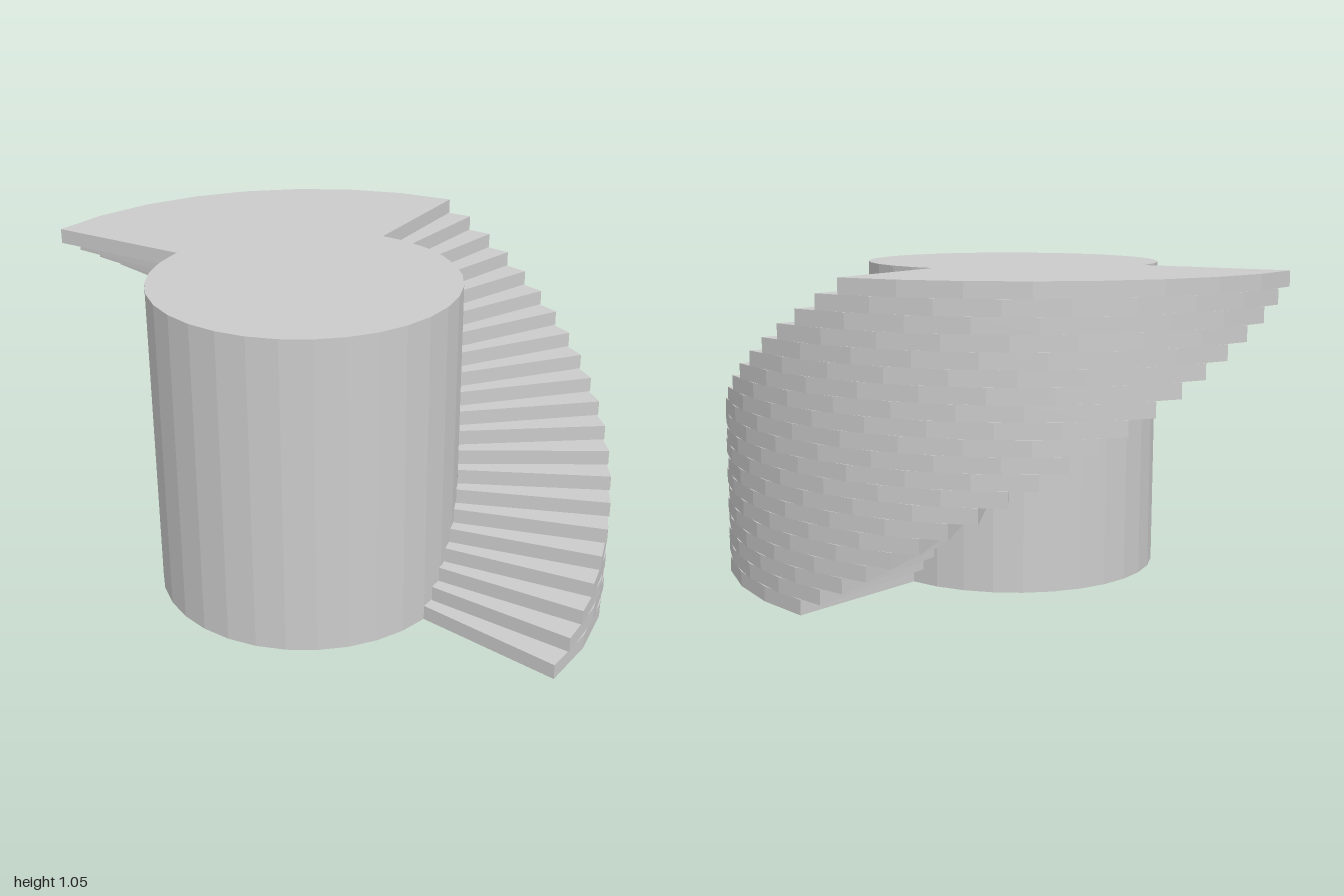
import * as THREE from 'three';

const STEPS = 21;
const RISE = 0.05;
const TURN = THREE.MathUtils.degToRad(5);   // each step is rotated this much past the last
const SPAN = Math.PI / 2;                   // arc covered by every step
const CORE_RADIUS = 0.5;
const OUTER_RADIUS = 1;

export function createModel() {
  const model = new THREE.Group();
  model.name = 'spiralStaircase';
  const material = new THREE.MeshStandardMaterial({ color: 0xcccccc, flatShading: true });

  // Central drum
  const height = STEPS * RISE;
  const core = new THREE.Mesh(new THREE.CylinderGeometry(CORE_RADIUS, CORE_RADIUS, height, 32), material);
  core.name = 'core';
  core.position.y = height / 2;
  model.add(core);

  // Quarter-ring slab, starting at the front (+z) and sweeping towards +x
  const ring = new THREE.Shape();
  ring.absarc(0, 0, OUTER_RADIUS, -Math.PI / 2, -Math.PI / 2 + SPAN, false);
  ring.absarc(0, 0, CORE_RADIUS, -Math.PI / 2 + SPAN, -Math.PI / 2, true);
  ring.closePath();
  // Arcs get two divisions per curve segment, giving 8 facets per slab
  const slab = new THREE.ExtrudeGeometry(ring, { depth: RISE, bevelEnabled: false, curveSegments: 4 });
  slab.rotateX(-Math.PI / 2);

  // Stacked, progressively turned steps
  const steps = new THREE.Group();
  steps.name = 'steps';
  for (let i = 0; i < STEPS; i++) {
    const step = new THREE.Mesh(slab, material);
    step.name = `step${i + 1}`;
    step.position.y = i * RISE;
    step.rotation.y = i * TURN;
    steps.add(step);
  }
  model.add(steps);

  // Centre the whole footprint
  core.position.x = steps.position.x = -0.25;
  return model;
}
